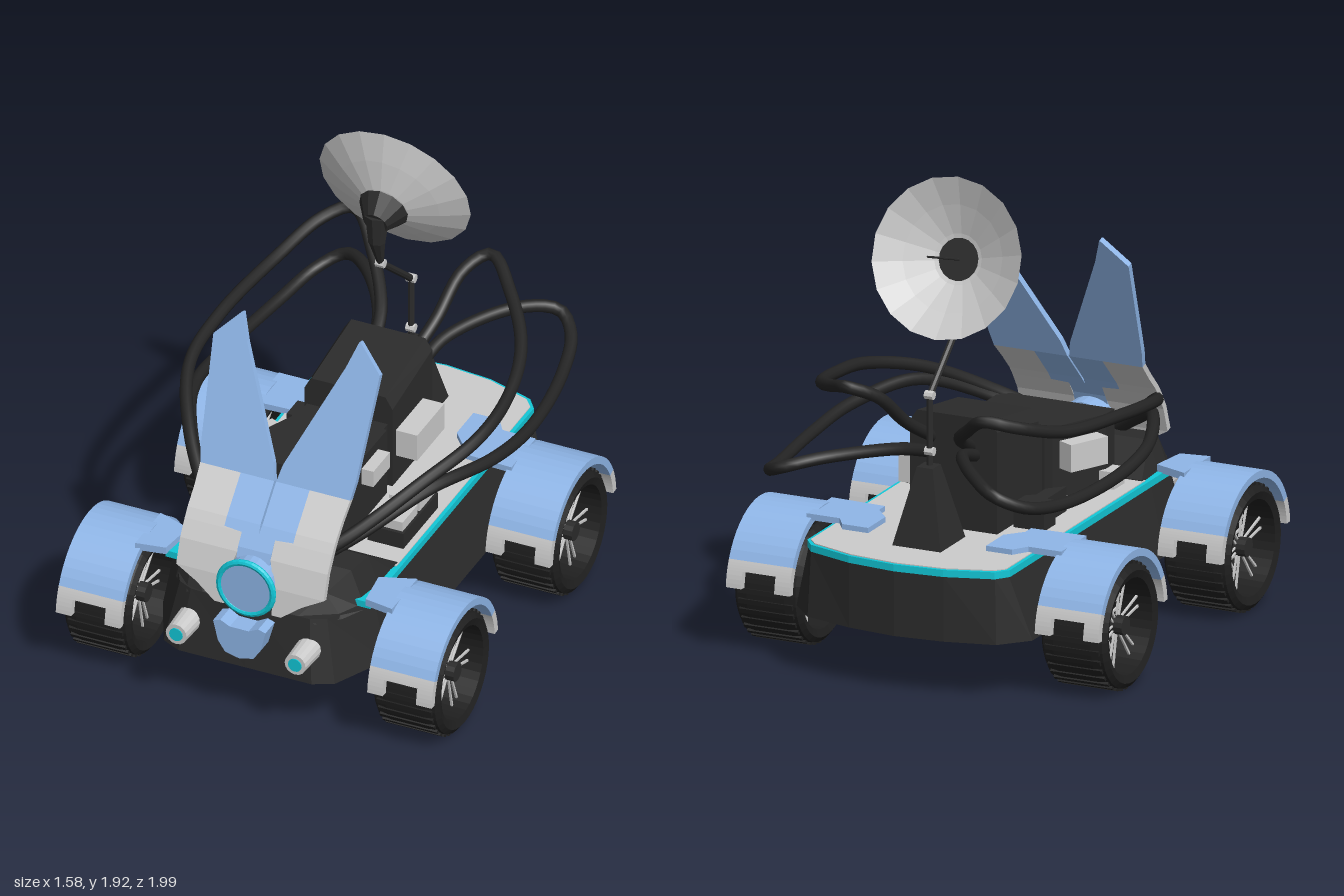
import * as THREE from 'three';

const COLORS = { grey: 0xcccccc, dark: 0x2b2b2b, tyre: 0x1f1f1f, blue: 0x8fb6e8, teal: 0x12c8d8 };
const mats = {};
for (const k in COLORS) mats[k] = new THREE.MeshStandardMaterial({ color: COLORS[k], flatShading: true });
mats.cable = new THREE.MeshStandardMaterial({ color: 0x242424 });
mats.dish = new THREE.MeshStandardMaterial({ color: 0xcccccc, flatShading: true, side: THREE.DoubleSide });

const V = (p) => new THREE.Vector3(...p);

function add(parent, name, geo, mat, pos = [0, 0, 0]) {
  const m = new THREE.Mesh(geo, mats[mat]);
  m.name = name;
  m.position.set(...pos);
  parent.add(m);
  return m;
}

function box(parent, name, mat, x0, x1, y0, y1, z0, z1) {
  return add(parent, name, new THREE.BoxGeometry(x1 - x0, y1 - y0, z1 - z0), mat,
    [(x0 + x1) / 2, (y0 + y1) / 2, (z0 + z1) / 2]);
}

// Straight bar between two points, optionally tapered
function rod(parent, name, mat, a, b, r0, r1 = r0, sides = 8) {
  const d = V(b).sub(V(a));
  const m = add(parent, name, new THREE.CylinderGeometry(r1, r0, d.length(), sides), mat);
  m.position.copy(V(a)).addScaledVector(d, 0.5);
  m.quaternion.setFromUnitVectors(new THREE.Vector3(0, 1, 0), d.normalize());
  return m;
}

// Capped skin over matching rings of points, turned to face outward
function loft(rings) {
  const tris = [];
  const n = rings[0].length;
  for (let i = 0; i + 1 < rings.length; i++) for (let j = 0; j < n; j++) {
    const k = (j + 1) % n, A = rings[i], B = rings[i + 1];
    tris.push([A[j], A[k], B[k]], [A[j], B[k], B[j]]);
  }
  [rings[0], rings[rings.length - 1]].forEach((r, e) => {
    const c = [0, 1, 2].map((q) => r.reduce((s, p) => s + p[q], 0) / n);
    for (let j = 0; j < n; j++) {
      const k = (j + 1) % n;
      tris.push(e ? [c, r[j], r[k]] : [c, r[k], r[j]]);
    }
  });
  const vol = tris.reduce((s, [a, b, c]) => s + V(a).dot(V(b).cross(V(c))), 0);
  if (vol < 0) tris.forEach((t) => t.reverse());
  const g = new THREE.BufferGeometry();
  g.setAttribute('position', new THREE.Float32BufferAttribute(tris.flat(2), 3));
  g.computeVertexNormals();
  return g;
}

// Plate with an [x, z] outline, from y upward by h
function plate(parent, name, mat, pts, y, h) {
  const s = new THREE.Shape(pts.map(([x, z]) => new THREE.Vector2(x, -z)));
  const g = new THREE.ExtrudeGeometry(s, { depth: h, bevelEnabled: false }).rotateX(-Math.PI / 2);
  return add(parent, name, g, mat, [0, y, 0]);
}

// Completes a half outline that starts and ends on x = 0
const mirrored = (half) => [...half, ...half.slice(1, -1).reverse().map(([x, z]) => [-x, z])];

// Curved band over a wheel, angles in degrees
function band(parent, name, mat, a0, a1, x0, x1, pos) {
  const s = new THREE.Shape(), r = Math.PI / 180;
  s.absarc(0, 0, 0.302, a0 * r, a1 * r, false);
  s.absarc(0, 0, 0.272, a1 * r, a0 * r, true);
  const g = new THREE.ExtrudeGeometry(s, { depth: x1 - x0, bevelEnabled: false,
    curveSegments: Math.max(2, Math.round((a1 - a0) / 14)) }).rotateY(Math.PI / 2);
  add(parent, name, g, mat, [pos[0] + x0, pos[1], pos[2]]);
}

function wheel(parent, side, z) {
  const g = new THREE.Group();
  g.name = 'wheel';
  g.position.set(side * 0.65, 0.255, z);
  parent.add(g);
  const prof = [[0.19, -0.13], [0.22, -0.14], [0.24, -0.125], [0.247, -0.08], [0.247, 0.08],
    [0.24, 0.125], [0.22, 0.14], [0.19, 0.13], [0.185, 0], [0.19, -0.13]].map((p) => new THREE.Vector2(...p));
  add(g, 'tyre', new THREE.LatheGeometry(prof, 36).rotateZ(Math.PI / 2), 'tyre');
  for (let i = 0; i < 36; i++) {
    const a = (i / 36) * Math.PI * 2;
    const lug = add(g, 'treadLug', new THREE.BoxGeometry(0.23, 0.012, 0.02), 'tyre',
      [0, 0.246 * Math.cos(a), 0.246 * Math.sin(a)]);
    lug.rotation.x = a;
  }
  // Paired spokes, set a little apart from each radius
  for (let i = 0; i < 6; i++) for (const o of [-1, 1]) {
    const a = (i / 6) * Math.PI * 2 + 0.3;
    const at = (r, t) => [0, r * Math.cos(a) - t * Math.sin(a), r * Math.sin(a) + t * Math.cos(a)];
    const spoke = rod(g, 'spoke', 'grey', at(0.03, o * 0.01), at(0.192, o * 0.022), 0.005, 0.006, 4);
    spoke.geometry.rotateY(Math.PI / 4).scale(1, 1, 1);
    for (const dx of [-0.07, 0.07]) {
      const s = spoke.clone();
      s.position.x = dx;
      g.add(s);
    }
  }
  add(g, 'hub', new THREE.CylinderGeometry(0.038, 0.038, 0.22, 12).rotateZ(Math.PI / 2), 'dark');
  // Fender with notched tips
  const c = [side * 0.655, 0.256, z];
  band(parent, 'fender', 'blue', 25, 155, -0.135, 0.135, c);
  for (const f of [(a) => a, (a) => 180 - a]) {
    const arc = (p, q, x0, x1) => band(parent, 'fenderTip', 'grey', Math.min(f(p), f(q)), Math.max(f(p), f(q)), x0, x1, c);
    arc(17, 25, -0.135, 0.135);
    arc(4, 17, -0.135, -0.07);
    arc(4, 17, 0.07, 0.135);
  }
}

// Front face of the mask: depth at a given height
const PROFILE = [[0.49, 0.885], [0.62, 0.86], [0.72, 0.82], [0.8, 0.76], [0.86, 0.7], [0.925, 0.635], [1.49, 0.4]];
function maskZ(y) {
  const i = Math.max(1, PROFILE.findIndex((p) => p[0] >= y));
  const [a, b] = [PROFILE[i - 1], PROFILE[i]];
  return a[1] + ((b[1] - a[1]) * (y - a[0])) / (b[0] - a[0]);
}
function maskPanel(parent, name, mat, side, rows) {
  const rings = rows.map(([y, xi, xo]) => {
    const z = maskZ(y);
    return [[side * xi, y, z], [side * xo, y, z], [side * xo, y - 0.008, z - 0.025], [side * xi, y - 0.008, z - 0.025]];
  });
  add(parent, name, loft(rings), mat);
}

export function createModel() {
  const g = new THREE.Group();
  g.name = 'rover';

  // Hull, wider at the bottom than at the deck
  const low = mirrored([[0, -0.91], [0.2, -0.89], [0.4, -0.84], [0.5, -0.73], [0.5, 0.42], [0.47, 0.64], [0.36, 0.87], [0.28, 0.91], [0, 0.91]]);
  const top = mirrored([[0, -0.91], [0.2, -0.89], [0.39, -0.83], [0.425, -0.78], [0.43, 0.45], [0.42, 0.64], [0.31, 0.83], [0.25, 0.86], [0, 0.87]]);
  add(g, 'hull', loft([low.map(([x, z]) => [x, 0.24, z]), top.map(([x, z]) => [x, 0.5, z])]), 'dark');
  plate(g, 'trim', 'teal', mirrored([[0, -0.912], [0.2, -0.892], [0.39, -0.832], [0.43, -0.78], [0.43, 0.7], [0, 0.7]]), 0.5, 0.028);
  plate(g, 'deck', 'grey', mirrored([[0, -0.9], [0.2, -0.88], [0.38, -0.82], [0.415, -0.78], [0.415, 0.43], [0, 0.43]]), 0.51, 0.022);

  // Hood: [z, top height, bottom half width, top half width]
  add(g, 'hood', loft([[0.41, 0.535, 0.42, 0.41], [0.57, 0.645, 0.42, 0.36], [0.68, 0.64, 0.4, 0.34], [0.78, 0.58, 0.35, 0.28], [0.86, 0.5, 0.27, 0.2]]
    .map(([z, y, b, t]) => [[-b, 0.48, z], [b, 0.48, z], [t, y, z], [-t, y, z]])), 'dark');

  // Mask, ears, headlights and wheels on both sides
  for (const s of [1, -1]) {
    maskPanel(g, 'maskCheek', 'grey', s, [[0.49, 0.1, 0.14], [0.55, 0.1, 0.22], [0.6, 0.1, 0.31], [0.7, 0.07, 0.31],
      [0.765, 0.07, 0.31], [0.77, 0.145, 0.31], [0.8, 0.145, 0.31], [0.86, 0.145, 0.31], [0.925, 0.145, 0.315]]);
    maskPanel(g, 'maskCentre', 'blue', s, [[0.68, 0, 0.07], [0.72, 0, 0.07], [0.765, 0, 0.07], [0.77, 0, 0.145],
      [0.8, 0.004, 0.145], [0.86, 0.004, 0.145], [0.925, 0.004, 0.145]]);
    maskPanel(g, 'ear', 'blue', s, [[0.925, 0.004, 0.315], [0.99, 0.02, 0.325], [1.39, 0.208, 0.35], [1.49, 0.245, 0.25]]);
    rod(g, 'headlight', 'grey', [s * 0.25, 0.37, 0.84], [s * 0.25, 0.37, 0.993], 0.052, 0.044, 16);
    rod(g, 'headlightLens', 'teal', [s * 0.25, 0.37, 0.98], [s * 0.25, 0.37, 0.997], 0.028, 0.028, 16);
    for (const z of [0.62, -0.45]) wheel(g, s, z);
    const flip = (pts) => pts.map(([x, z]) => [s * x, z]);
    plate(g, 'frontFenderBridge', 'blue', flip([[0.4, 0.56], [0.54, 0.51], [0.54, 0.74], [0.42, 0.72]]), 0.525, 0.03);
    plate(g, 'rearFenderBridge', 'blue', flip([[0.25, -0.62], [0.36, -0.62], [0.4, -0.56], [0.54, -0.56], [0.54, -0.34],
      [0.31, -0.35], [0.31, -0.4], [0.25, -0.47]]), 0.528, 0.025);
  }

  // Round nose lamp and chin
  rod(g, 'noseLamp', 'blue', [0, 0.595, 0.72], [0, 0.595, 0.905], 0.106, 0.106, 24);
  add(g, 'noseRing', new THREE.TorusGeometry(0.113, 0.013, 8, 28), 'teal', [0, 0.595, 0.898]);
  const chin = new THREE.Shape([[-0.06, 0.325], [0, 0.31], [0.06, 0.325], [0.09, 0.37], [0.11, 0.455], [0.08, 0.465],
    [0.04, 0.445], [-0.04, 0.445], [-0.08, 0.465], [-0.11, 0.455], [-0.09, 0.37]].map((p) => new THREE.Vector2(...p)));
  add(g, 'chin', new THREE.ExtrudeGeometry(chin, { depth: 0.08, bevelEnabled: true, bevelSize: 0, bevelThickness: 0.01, bevelSegments: 1 }), 'blue', [0, 0, 0.87]);

  // Equipment on the deck
  const ring = (y0, y1, z0, z1, i = 0) => [[-0.2 + i, y0, z0], [0.17 - i, y0, z0], [0.17 - i, y1, z1], [-0.2 + i, y1, z1]];
  add(g, 'rearConsole', loft([ring(0.53, 0.53, -0.42, -0.06), ring(0.94, 0.88, -0.42, -0.06), ring(0.985, 0.93, -0.42, -0.06, 0.03)]), 'dark');
  box(g, 'consoleLink', 'dark', -0.19, 0.15, 0.53, 0.81, -0.07, 0.01);
  plate(g, 'frontConsole', 'dark', [[-0.2, -0.01], [0.17, -0.01], [0.17, 0.33], [0.13, 0.375], [-0.31, 0.375], [-0.31, 0.3], [-0.2, 0.06]], 0.53, 0.29);
  box(g, 'largeSidePanel', 'grey', 0.16, 0.26, 0.655, 0.77, -0.335, -0.09);
  box(g, 'smallSidePanel', 'grey', 0.16, 0.22, 0.71, 0.78, 0.07, 0.22);
  box(g, 'crateTray', 'dark', 0.24, 0.39, 0.53, 0.6, 0, 0.315);
  for (const z of [0.01, 0.165]) box(g, 'crate', 'grey', 0.25, 0.38, 0.54, 0.64, z, z + 0.135);
  plate(g, 'leftBracket', 'dark', [[-0.345, -0.31], [-0.215, -0.31], [-0.215, -0.21], [-0.25, -0.18], [-0.25, -0.1], [-0.31, -0.04], [-0.31, -0.21], [-0.345, -0.21]], 0.53, 0.1);
  const screen = add(g, 'leftScreen', new THREE.BoxGeometry(0.07, 0.11, 0.18), 'grey', [-0.3, 0.715, 0.13]);
  screen.rotation.y = -0.45;
  box(g, 'leftBlock', 'grey', -0.36, -0.28, 0.53, 0.6, 0.27, 0.36);

  // Mast and jointed arm
  const mast = add(g, 'mastBase', new THREE.CylinderGeometry(0.05, 0.155, 0.31, 4).rotateY(Math.PI / 4), 'dark', [0, 0.68, -0.605]);
  mast.scale.x = 0.95;
  rod(g, 'mast', 'dark', [0, 0.82, -0.595], [0, 1.12, -0.595], 0.013);
  rod(g, 'lowerArm', 'dark', [0, 1.11, -0.6], [0, 1.35, -0.32], 0.014);
  rod(g, 'upperArm', 'dark', [0, 1.35, -0.32], [0, 1.48, -0.285], 0.013, 0.035);
  rod(g, 'armNeck', 'dark', [0, 1.47, -0.285], [0, 1.59, -0.29], 0.035, 0.05);
  for (const [y, z] of [[1.115, -0.597], [1.35, -0.32], [0.89, -0.595]]) rod(g, 'armJoint', 'grey', [-0.018, y, z], [0.018, y, z], 0.018);

  // Dish facing the rear
  const dish = new THREE.Group();
  dish.name = 'dish';
  dish.position.set(0, 1.62, -0.45);
  dish.rotation.x = -1.25;
  g.add(dish);
  add(dish, 'reflector', new THREE.LatheGeometry([[0, -0.135], [0.1, -0.105], [0.21, -0.055], [0.315, 0]].map((p) => new THREE.Vector2(...p)), 18), 'dish');
  rod(dish, 'dishHub', 'dark', [0, -0.19, 0], [0, -0.11, 0], 0.05, 0.102, 12);
  rod(dish, 'receiver', 'dark', [0, -0.14, 0], [0, 0.175, 0], 0.005, 0.004, 6);

  // Looping cables, from behind the mask round to the rear console
  const cables = {
    leftUpperCable: [[-0.12, 0.62, 0.74], [-0.3, 0.74, 0.6], [-0.48, 0.88, 0.38], [-0.61, 0.97, 0.1], [-0.625, 1.01, -0.2],
      [-0.57, 1.05, -0.6], [-0.48, 1.12, -0.83], [-0.38, 1.15, -0.9], [-0.25, 1.06, -0.78], [-0.12, 0.95, -0.58], [-0.08, 0.86, -0.4]],
    rightUpperCable: [[0.12, 0.62, 0.74], [0.3, 0.74, 0.6], [0.48, 0.88, 0.36], [0.6, 0.96, 0.08], [0.6, 1.0, -0.2],
      [0.53, 1.05, -0.45], [0.38, 1.12, -0.67], [0.24, 1.17, -0.8], [0.16, 1.12, -0.72], [0.12, 0.98, -0.56], [0.08, 0.88, -0.4]],
    leftLowerCable: [[-0.14, 0.61, 0.7], [-0.32, 0.73, 0.57], [-0.5, 0.84, 0.32], [-0.63, 0.82, 0], [-0.645, 0.79, -0.3],
      [-0.6, 0.79, -0.7], [-0.54, 0.83, -0.9], [-0.45, 0.88, -0.965], [-0.32, 0.91, -0.87], [-0.14, 0.89, -0.6], [-0.1, 0.83, -0.4]],
    rightLowerCable: [[0.14, 0.61, 0.7], [0.32, 0.73, 0.57], [0.5, 0.84, 0.32], [0.62, 0.82, 0], [0.64, 0.79, -0.3],
      [0.59, 0.79, -0.7], [0.53, 0.83, -0.9], [0.45, 0.87, -0.97], [0.32, 0.9, -0.88], [0.14, 0.88, -0.6], [0.1, 0.82, -0.4]],
  };
  for (const name in cables) {
    const path = new THREE.CatmullRomCurve3(cables[name].map(V));
    add(g, name, new THREE.TubeGeometry(path, 70, 0.025, 10), 'cable');
  }
  return g;
}
